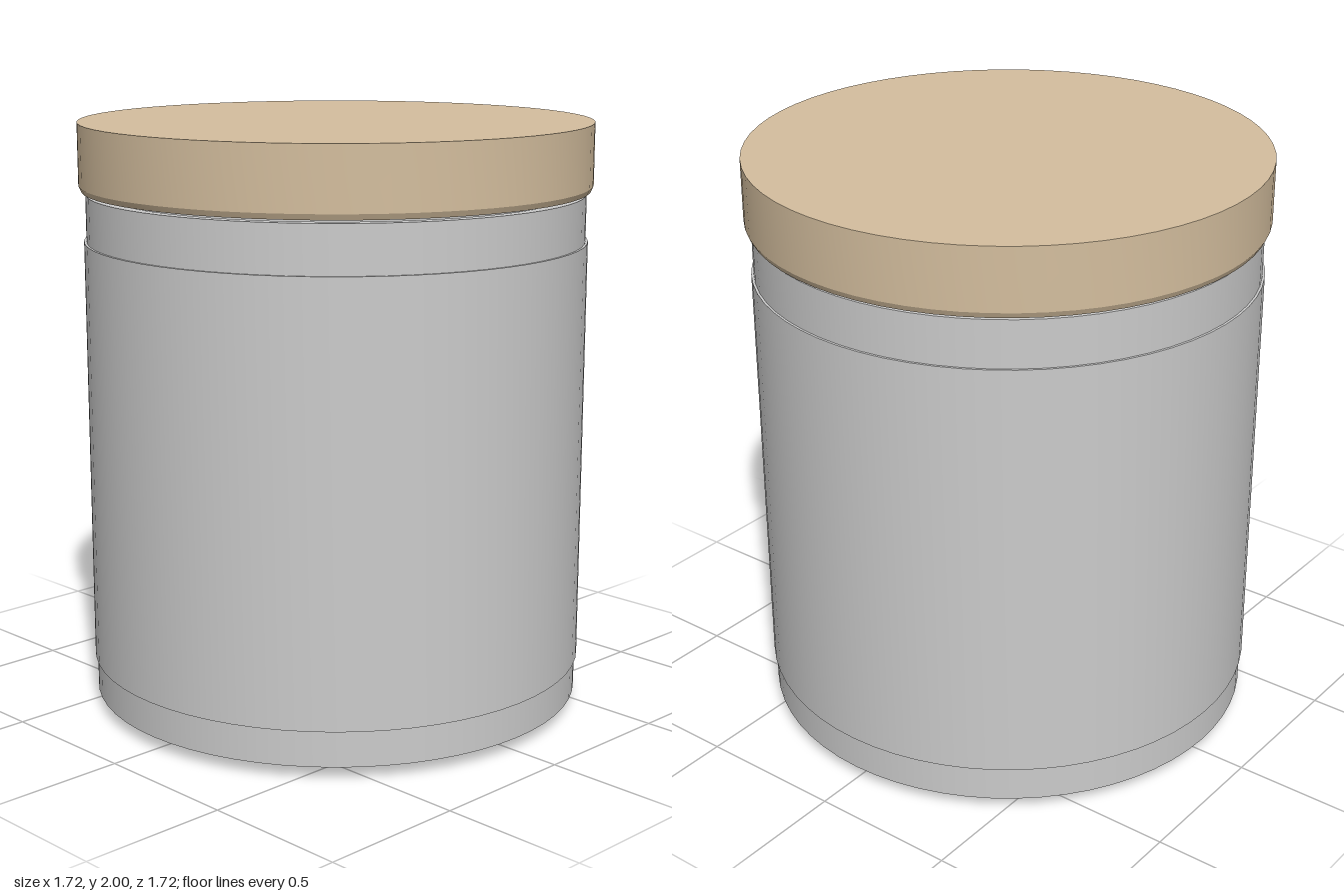
import * as THREE from 'three';
import { toCreasedNormals } from 'three/addons/utils/BufferGeometryUtils.js';

const glass = new THREE.MeshStandardMaterial({ color: 0xcccccc, side: THREE.DoubleSide });
const wood = new THREE.MeshStandardMaterial({ color: 0xd4be9e });

// Turn a profile of [radius, height] points, running from the bottom outward and up
function turned(name, profile, material) {
  const points = profile.map(([r, y]) => new THREE.Vector2(r, y));
  const geometry = toCreasedNormals(new THREE.LatheGeometry(points, 64), 0.4);
  const mesh = new THREE.Mesh(geometry, material);
  mesh.name = name;
  return mesh;
}

export function createModel() {
  const group = new THREE.Group();
  group.name = 'jar';

  // Jar body with a shallow conical base and a rim
  group.add(turned('body', [
    [0, 0], [0.8, 0.044], [0.837, 0.044], [0.837, 1.763], [0.8, 1.763],
  ], glass));

  // Thin sleeve around the body
  group.add(turned('sleeve', [
    [0.837, 0.165], [0.845, 0.165], [0.845, 1.605], [0.837, 1.605],
  ], glass));

  // Lid with a small chamfer below, just clear of the rim
  group.add(turned('lid', [
    [0, 1.774], [0.85, 1.774], [0.859, 1.793], [0.859, 2], [0, 2],
  ], wood));

  return group;
}
